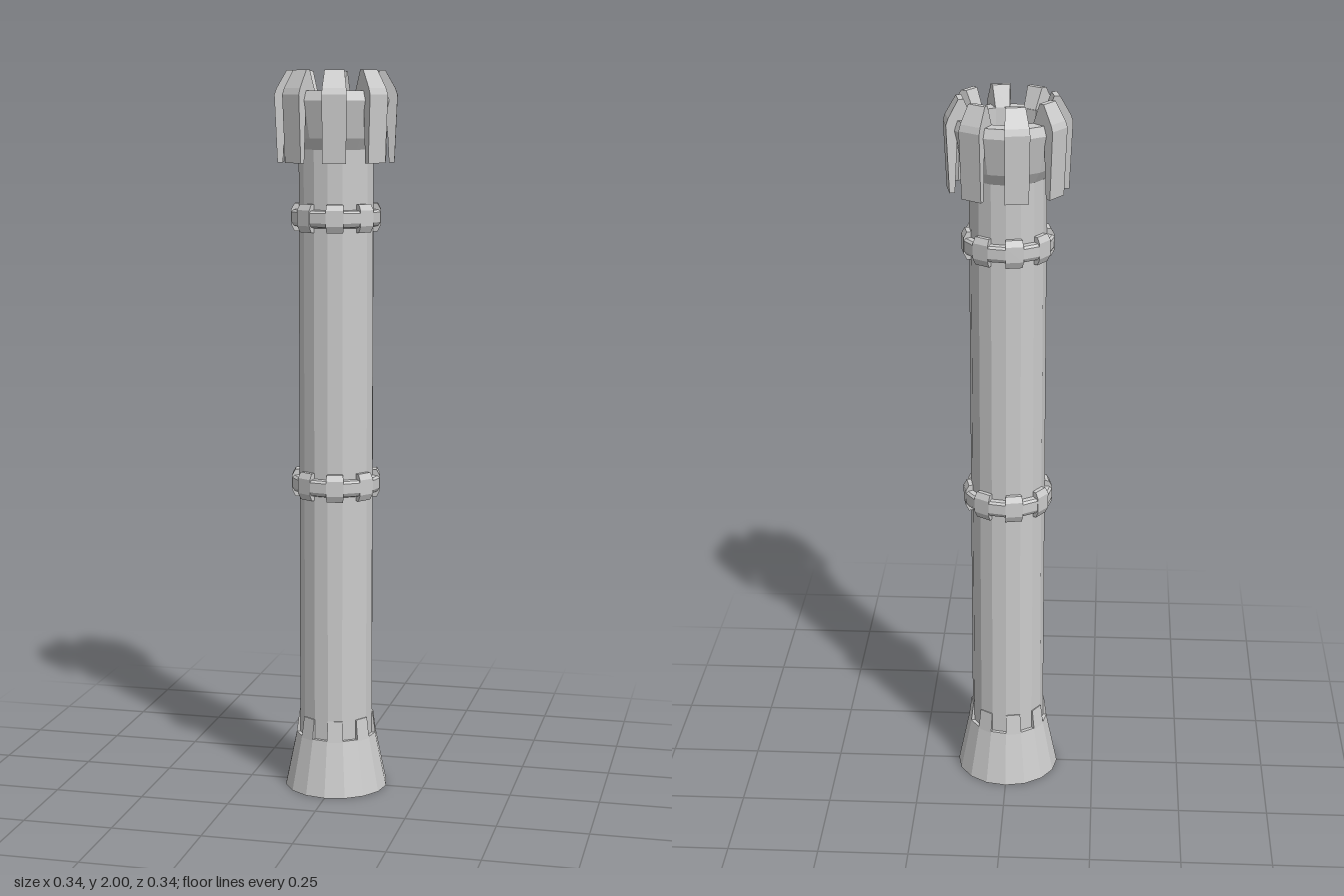
import * as THREE from 'three';
import { mergeGeometries } from 'three/addons/utils/BufferGeometryUtils.js';

const SIDES = 16;
const STEP = (Math.PI * 2) / SIDES;
const material = new THREE.MeshStandardMaterial({ color: 0xcccccc, flatShading: true, side: THREE.DoubleSide });
const toPoints = (profile) => profile.map(([r, y]) => new THREE.Vector2(r, y));

function addMesh(parent, name, geometry) {
  const mesh = new THREE.Mesh(geometry, material);
  mesh.name = name;
  parent.add(mesh);
}

// Full sixteen-sided turned part
const turned = (profile) => new THREE.LatheGeometry(toPoints(profile), SIDES);

// One-sector wedge of a closed, counter-clockwise (radius, height) profile
function sector(profile, index) {
  const start = index * STEP;
  const points = toPoints(profile);
  const wall = new THREE.LatheGeometry([...points, points[0].clone()], 1, start, STEP);
  const startCap = new THREE.ShapeGeometry(new THREE.Shape(points));
  const endCap = startCap.clone();
  endCap.index.array.reverse();
  startCap.rotateY(start - Math.PI / 2);
  endCap.rotateY(start + STEP - Math.PI / 2);
  return mergeGeometries([wall, startCap, endCap]);
}

// The same wedge on every second side
function alternating(profile) {
  const parts = [];
  for (let i = 0; i < SIDES; i += 2) parts.push(sector(profile, i));
  return mergeGeometries(parts);
}

function addBand(parent, name, y) {
  const band = new THREE.Group();
  band.name = name;
  band.position.y = y;
  addMesh(band, 'bandRing', turned([[0.1, -0.027], [0.117, -0.022], [0.123, -0.012], [0.123, 0.015], [0.117, 0.021], [0.1, 0.023]]));
  addMesh(band, 'bandTeeth', alternating([[0.1, -0.038], [0.115, -0.038], [0.124, -0.02], [0.124, 0.022], [0.115, 0.038], [0.1, 0.038]]));
  parent.add(band);
}

export function createModel() {
  const tower = new THREE.Group();
  tower.name = 'tower';

  // Flared foot with a toothed collar
  addMesh(tower, 'base', turned([[0, 0], [0.145, 0], [0.113, 0.155], [0.1, 0.155]]));
  addMesh(tower, 'baseTeeth', alternating([[0.095, 0.15], [0.114, 0.15], [0.106, 0.21], [0.095, 0.21]]));

  // Shaft, its top forming the floor inside the crown
  addMesh(tower, 'shaft', turned([[0.103, 0.15], [0.103, 1.82], [0, 1.82]]));
  addBand(tower, 'lowerBand', 0.873);
  addBand(tower, 'upperBand', 1.607);

  // Crown parapet
  addMesh(tower, 'parapet', turned([
    [0.1, 1.785], [0.122, 1.82], [0.146, 1.92], [0.137, 1.945], [0.095, 1.945], [0.095, 1.8],
  ]));

  // Battlements with slabs hanging outside the parapet
  addMesh(tower, 'merlons', alternating([
    [0.137, 1.92], [0.146, 1.755], [0.161, 1.755], [0.169, 1.935],
    [0.163, 1.952], [0.135, 2], [0.12, 2], [0.095, 1.94], [0.095, 1.92],
  ]));

  return tower;
}
